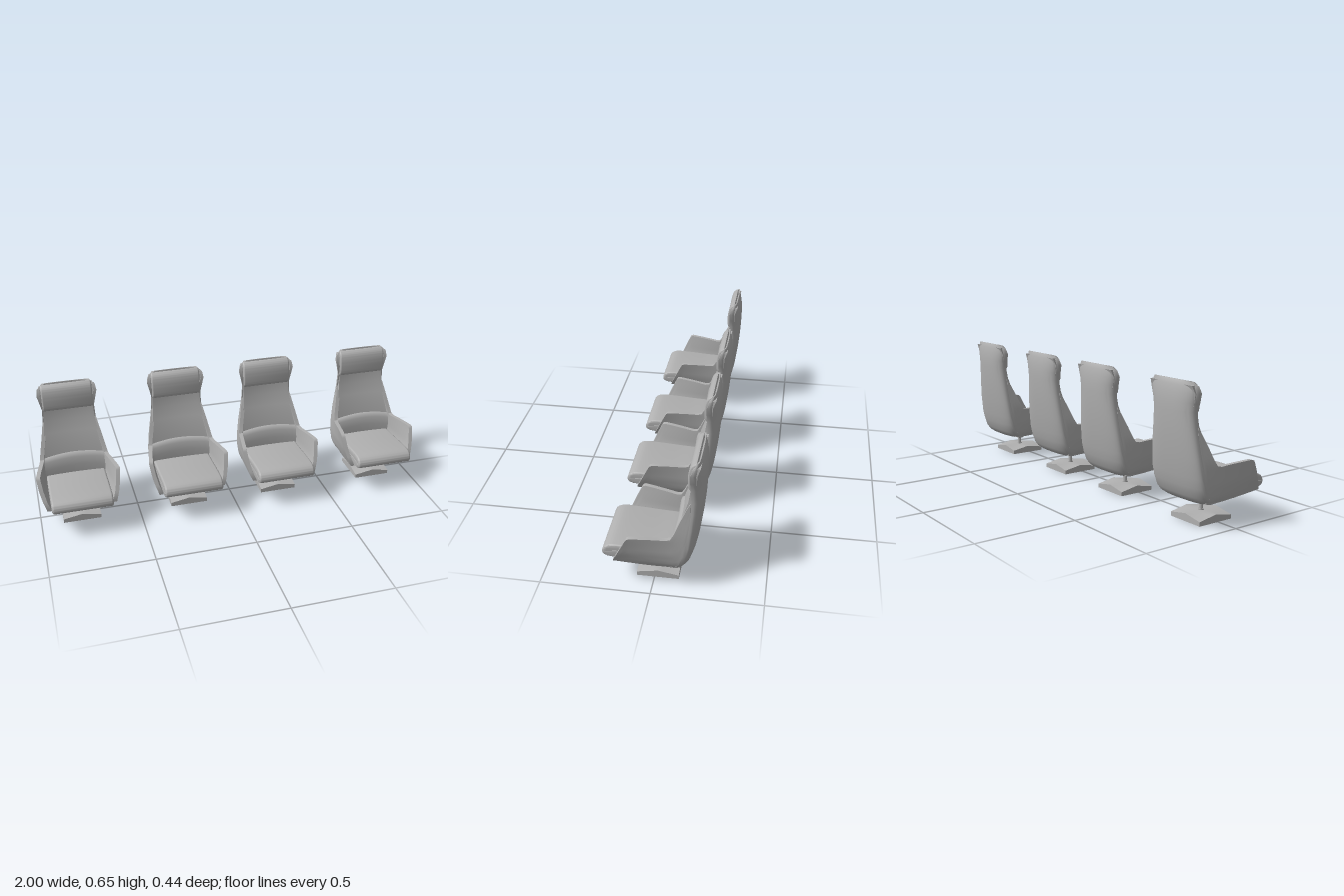
import * as THREE from 'three';
import { toCreasedNormals } from 'three/addons/utils/BufferGeometryUtils.js';

const grey = new THREE.MeshStandardMaterial({ color: 0xb0b0b0, side: THREE.DoubleSide });
grey.name = 'grey';

// Linear lookup in a table of [key, value...] rows
function lut(table, key, col = 1) {
  const up = table[0][0] < table[table.length - 1][0];
  const t = up ? table : [...table].reverse();
  if (key <= t[0][0]) return t[0][col];
  for (let i = 1; i < t.length; i++) {
    if (key <= t[i][0]) {
      const s = (key - t[i - 1][0]) / (t[i][0] - t[i - 1][0]);
      return THREE.MathUtils.lerp(t[i - 1][col], t[i][col], s);
    }
  }
  return t[t.length - 1][col];
}

// Half width of the shell at depth z and height y: arms flare outwards
const widths = [[0.108, 0.14], [0.118, 0.152], [0.14, 0.162], [0.2, 0.17], [0.29, 0.169], [0.4, 0.153],
  [0.455, 0.146], [0.52, 0.142], [0.56, 0.15], [0.6, 0.16], [0.63, 0.157], [0.652, 0.135]];
function halfWidth(z, y) {
  const flare = THREE.MathUtils.clamp(y - 0.11, 0.03, 0.18);
  return lut(widths, y) + flare * (z + 0.1);
}

// Closed solid from a row of equal-length rings
function loft(rings, crease = 0.7) {
  const n = rings[0].length, pos = [], idx = [];
  rings.forEach(r => r.forEach(p => pos.push(...p)));
  for (let i = 0; i < rings.length - 1; i++) {
    for (let j = 0; j < n; j++) {
      const a = i * n + j, b = i * n + (j + 1) % n;
      idx.push(a, b, a + n, b, b + n, a + n);
    }
  }
  // End caps join the two halves of each ring
  for (let j = 0; j < n / 2 - 1; j++) {
    const o = (rings.length - 1) * n;
    const a = j, b = j + 1, c = n - 2 - j, d = n - 1 - j;
    idx.push(a, c, b, a, d, c, o + a, o + b, o + c, o + a, o + c, o + d);
  }
  const g = new THREE.BufferGeometry();
  g.setAttribute('position', new THREE.Float32BufferAttribute(pos, 3));
  g.setIndex(idx);
  return toCreasedNormals(g, crease);
}

// Side profile of [z, y] points stretched across x
function prism(points, half, bevel, smooth) {
  const pts = points.map(p => new THREE.Vector2(...p));
  const outline = smooth ? new THREE.SplineCurve([...pts, pts[0]]).getPoints(pts.length * 5).slice(0, -1) : pts;
  const g = new THREE.ExtrudeGeometry(new THREE.Shape(outline), {
    depth: 2 * (half - bevel), bevelEnabled: bevel > 0, bevelThickness: bevel,
    bevelSize: bevel, bevelOffset: -bevel, bevelSegments: 4,
  });
  g.translate(0, 0, bevel - half);
  g.translate(0, 0, -bevel);
  g.rotateY(-Math.PI / 2);
  g.computeBoundingBox();
  g.translate(-(g.boundingBox.min.x + g.boundingBox.max.x) / 2, 0, 0);
  return toCreasedNormals(g, 0.7);
}

// Side panel with armrest: columns of [z, bottom, top]
const sideColumns = [[0.168, 0.139, 0.143], [0.15, 0.137, 0.182], [0.128, 0.134, 0.23], [0.104, 0.131, 0.28],
  [0.098, 0.13, 0.289], [0.088, 0.129, 0.293], [0.04, 0.123, 0.29], [-0.02, 0.116, 0.285], [-0.065, 0.112, 0.28],
  [-0.085, 0.111, 0.284], [-0.1, 0.115, 0.31], [-0.12, 0.14, 0.358], [-0.137, 0.19, 0.395],
  [-0.15, 0.235, 0.423], [-0.162, 0.325, 0.446], [-0.168, 0.4, 0.454]];
function sidePanel(sign) {
  return loft(sideColumns.map(([z, lo, hi]) => {
    const outer = [], inner = [];
    for (let j = 0; j <= 10; j++) {
      const y = THREE.MathUtils.lerp(lo, hi, j / 10), x = halfWidth(z, y);
      outer.push([sign * x, y, z]);
      inner.unshift([sign * (x - 0.02), y, z]);
    }
    return [...outer, ...inner];
  }));
}

// Curved back panel: rows of [y, front edge z, rear z]
const backRows = [[0.108, -0.085, -0.115], [0.113, -0.095, -0.14], [0.125, -0.108, -0.157], [0.145, -0.122, -0.17],
  [0.19, -0.137, -0.184], [0.235, -0.15, -0.194], [0.325, -0.162, -0.207], [0.4, -0.168, -0.215],
  [0.455, -0.17, -0.219], [0.52, -0.168, -0.222], [0.56, -0.165, -0.222], [0.6, -0.166, -0.219],
  [0.63, -0.176, -0.213], [0.646, -0.189, -0.208], [0.652, -0.197, -0.204]];
function backPanel() {
  const pow = (v, p) => Math.sign(v) * Math.abs(v) ** p;
  return loft(backRows.map(([y, zs, zb]) => {
    const w = halfWidth(zs, y), outer = [], inner = [];
    for (let j = 0; j <= 24; j++) {
      const a = Math.PI * j / 24, c = pow(Math.cos(a), 0.75), s = Math.abs(Math.sin(a)) ** 0.75;
      outer.push([w * c, y, zs + (zb - zs) * s]);
      inner.unshift([(w - 0.015) * c, y, zs + (zb - zs) * 0.6 * s]);
    }
    return [...outer, ...inner];
  }));
}

// Upholstered pad in front of the back panel: rows of [y, front z]
function backPad(rows, hollow, arch) {
  return loft(rows.map(([y, zf]) => {
    const front = [], rear = [];
    for (let j = 0; j <= 16; j++) {
      const u = j / 8 - 1, yy = y + arch * (1 - u * u);
      const w = halfWidth(-0.14, y) - 0.012;
      front.push([w * u, yy, zf - hollow * (1 - u * u)]);
      rear.unshift([w * u, yy, zf - 0.025]);
    }
    return [...front, ...rear];
  }));
}

// Square foot with its corners dropping away
function footGeometry() {
  const half = 0.095, g = new THREE.BoxGeometry(2 * half, 0.037, 2 * half, 8, 1, 8).translate(0, 0.0185, 0);
  const p = g.attributes.position;
  for (let i = 0; i < p.count; i++) {
    if (p.getY(i) > 0.01) p.setY(i, 0.037 - 0.017 * Math.abs(p.getX(i) * p.getZ(i)) / (half * half));
  }
  return toCreasedNormals(g, 0.5);
}

const seatBase = [[0.2, 0.143], [0.13, 0.135], [0, 0.117], [-0.1, 0.109], [-0.125, 0.115], [-0.13, 0.17], [0.16, 0.18], [0.215, 0.17]];
const seatCushion = [[0.205, 0.143], [0.219, 0.152], [0.222, 0.17], [0.214, 0.188], [0.195, 0.201], [0.165, 0.206],
  [0.1, 0.204], [0, 0.197], [-0.1, 0.19], [-0.12, 0.17], [0, 0.15], [0.16, 0.146]];
const headProfile = [[-0.17, 0.513], [-0.157, 0.522], [-0.153, 0.545], [-0.154, 0.59], [-0.162, 0.625],
  [-0.176, 0.643], [-0.192, 0.646], [-0.195, 0.6], [-0.186, 0.54]];
const armProfile = [[0.086, 0.112], [0.08, 0.102], [0.01, 0.076], [-0.005, 0.07], [-0.025, 0.07], [-0.025, 0.09], [-0.01, 0.092]];

const parts = {
  leftSide: sidePanel(1),
  rightSide: sidePanel(-1),
  backShell: backPanel(),
  backCushion: backPad([[0.17, -0.092], [0.29, -0.103], [0.4, -0.138], [0.46, -0.157], [0.52, -0.166], [0.6, -0.17], [0.635, -0.183]], 0.008, 0),
  lumbarCushion: backPad([[0.17, -0.078], [0.22, -0.078], [0.26, -0.085], [0.275, -0.092], [0.282, -0.102]], 0.008, 0.014),
  headrest: prism(headProfile, 0.126, 0.008, true),
  seatBase: prism(seatBase, 0.15, 0.006, false),
  seatCushion: prism(seatCushion, 0.149, 0.01, true),
  mountingPlate: prism([[0.104, 0.115], [0.104, 0.135], [-0.07, 0.125], [-0.03, 0.115]], 0.075, 0, false),
  tiltPivot: new THREE.CylinderGeometry(0.007, 0.007, 0.1, 16).rotateZ(Math.PI / 2).translate(0, 0.107, 0.08),
  tiltArm: prism(armProfile, 0.012, 0.002, false),
  column: new THREE.CylinderGeometry(0.009, 0.01, 0.065, 20).translate(0, 0.0675, -0.015),
  collar: new THREE.CylinderGeometry(0.014, 0.014, 0.006, 20).translate(0, 0.039, -0.015),
  foot: footGeometry().translate(0, 0, -0.015),
};

export function createModel() {
  const model = new THREE.Group();
  model.name = 'chairRow';
  [-0.795, -0.24, 0.25, 0.795].forEach(x => {
    const chair = new THREE.Group();
    chair.name = 'chair';
    for (const [name, geometry] of Object.entries(parts)) {
      const mesh = new THREE.Mesh(geometry, grey);
      mesh.name = name;
      chair.add(mesh);
    }
    chair.position.x = x;
    model.add(chair);
  });
  return model;
}
